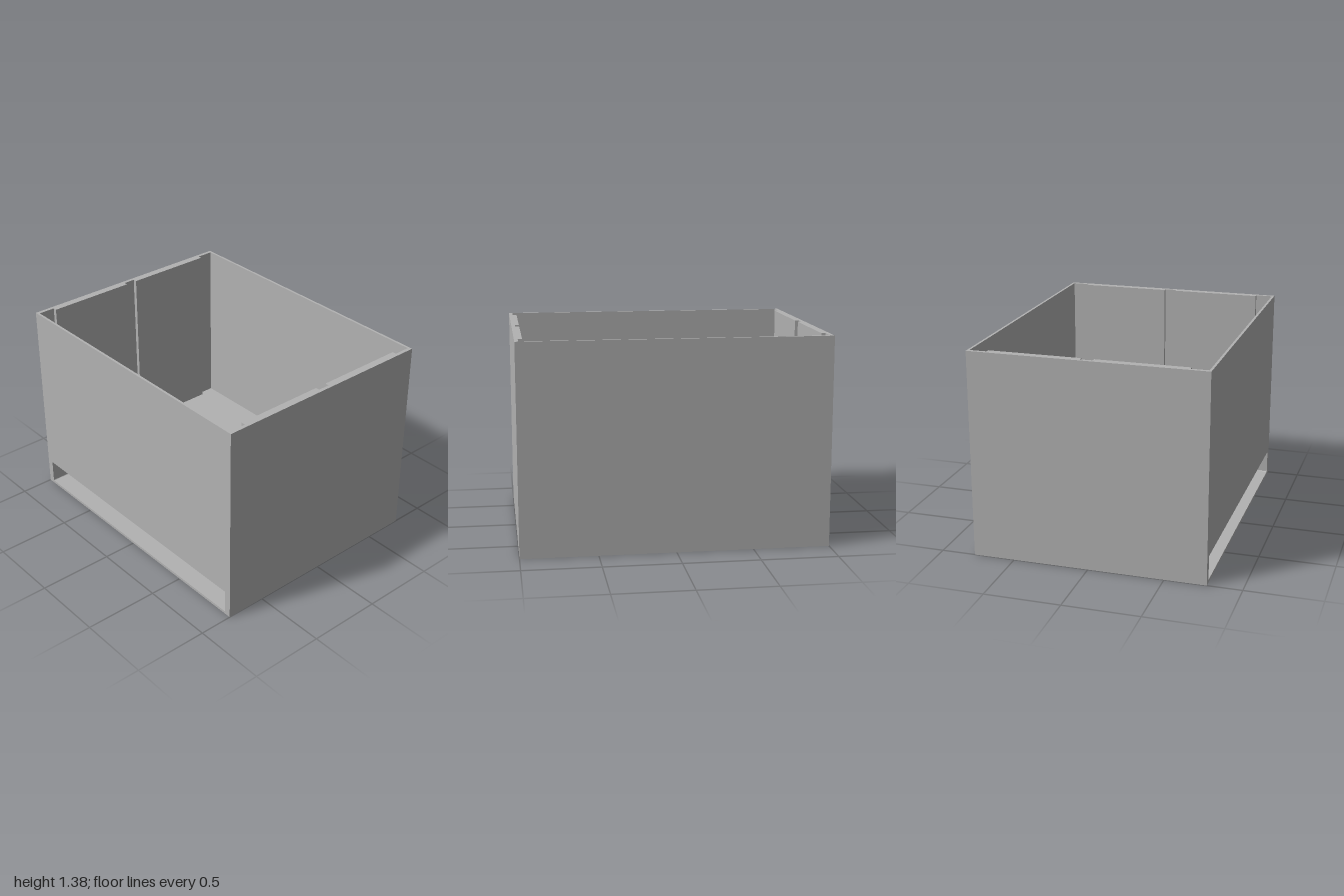
import * as THREE from 'three';

const W = 1, D = 0.774, H = 1.375;      // half width, half depth, height
const DECK = 0.2;                       // top of the base compartment
const BACK = 0.016;                     // thin front and back wall thickness

const rect = (Type, x0, y0, x1, y1) => new Type([
  new THREE.Vector2(x0, y0), new THREE.Vector2(x1, y0),
  new THREE.Vector2(x1, y1), new THREE.Vector2(x0, y1),
]);

// Rectangular opening with tiny rounded corners
function roundedOpening(x0, y0, x1, y1, r) {
  const p = new THREE.Path();
  p.moveTo(x0 + r, y0);
  p.lineTo(x1 - r, y0).quadraticCurveTo(x1, y0, x1, y0 + r);
  p.lineTo(x1, y1 - r).quadraticCurveTo(x1, y1, x1 - r, y1);
  p.lineTo(x0 + r, y1).quadraticCurveTo(x0, y1, x0, y1 - r);
  p.lineTo(x0, y0 + r).quadraticCurveTo(x0, y0, x0 + r, y0);
  return p;
}

// Interior outline: thick side pads with grooves at the corners and middle
function grooveOutline() {
  const groove = 0.976, pad = 0.949, end = D - BACK;
  const side = [
    [groove, -end], [groove, -0.645], [pad, -0.645], [pad, -0.04], [groove, -0.04],
    [groove, 0.04], [pad, 0.04], [pad, 0.645], [groove, 0.645], [groove, end],
  ];
  const all = [...side, ...side.map(([x, y]) => [-x, -y])];
  return new THREE.Path(all.map(([x, y]) => new THREE.Vector2(x, y)));
}

export function createModel() {
  const group = new THREE.Group();
  group.name = 'storageBox';
  const grey = new THREE.MeshStandardMaterial({ color: 0xb2b2b2 });
  grey.name = 'grey';

  const add = (name, geometry) => {
    const mesh = new THREE.Mesh(geometry, grey);
    mesh.name = name;
    group.add(mesh);
    return mesh;
  };

  // Base compartment, open at the front
  const baseShape = rect(THREE.Shape, -W, 0, W, DECK);
  baseShape.holes.push(roundedOpening(-0.955, 0.018, 0.955, 0.179, 0.008));
  const base = new THREE.ExtrudeGeometry(baseShape, {
    depth: 2 * D - BACK, bevelEnabled: false, curveSegments: 3,
  });
  base.translate(0, 0, -D + BACK);
  add('drawerCompartment', base);

  // Closed back of the compartment
  add('compartmentBack', new THREE.BoxGeometry(2 * W, DECK, BACK))
    .position.set(0, DECK / 2, -D + BACK / 2);

  // Upper walls with grooved sides, open at the top
  const wallShape = rect(THREE.Shape, -W, -D, W, D);
  wallShape.holes.push(grooveOutline());
  const walls = new THREE.ExtrudeGeometry(wallShape, { depth: H - DECK, bevelEnabled: false });
  walls.rotateX(-Math.PI / 2);
  walls.translate(0, DECK, 0);
  add('groovedWalls', walls);

  return group;
}
